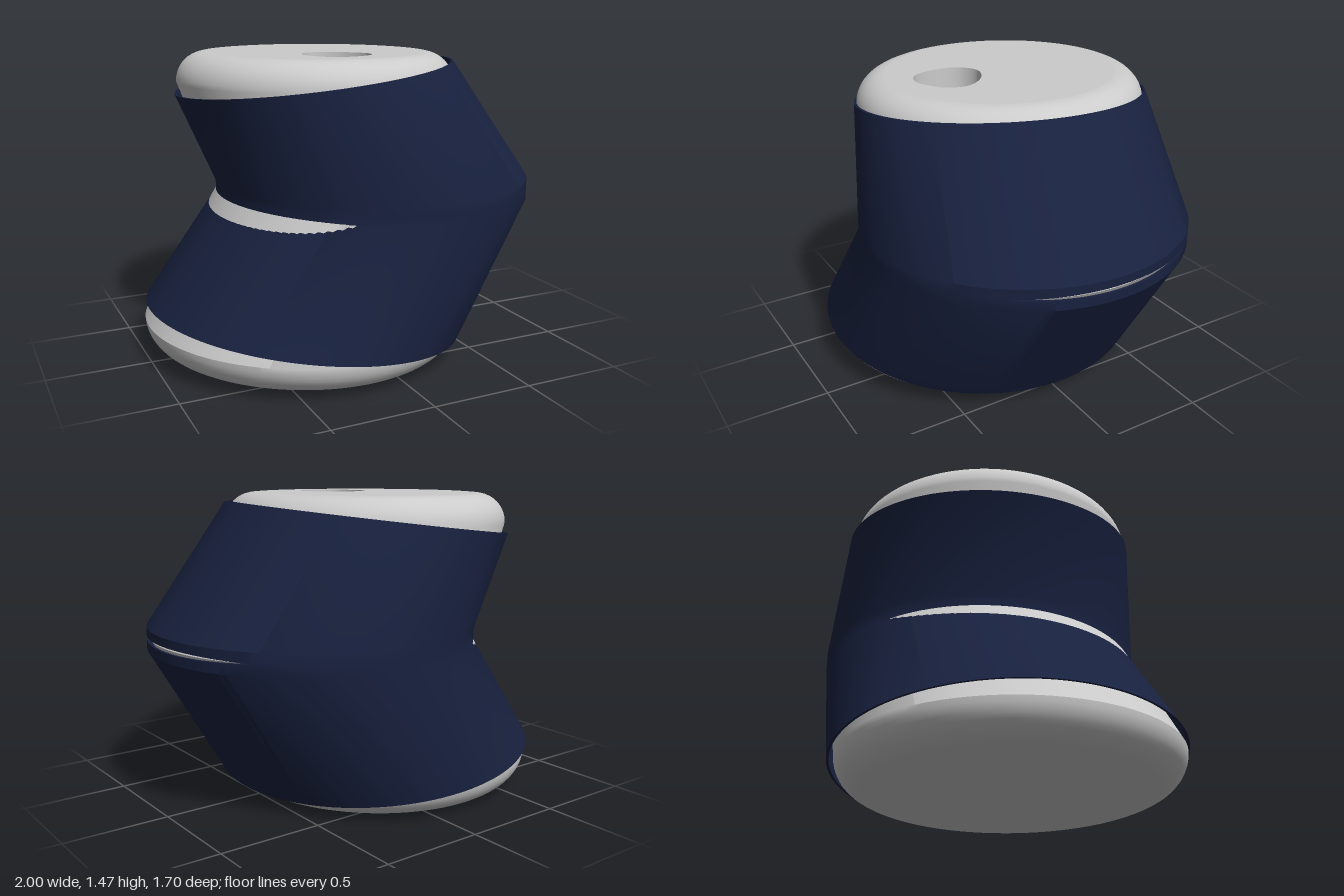
import * as THREE from 'three';
import { toCreasedNormals } from 'three/addons/utils/BufferGeometryUtils.js';

const SEG = 128;

// Elliptical cross-section: centre, radii, and a height that varies around the rim.
function ring(cx, cz, rx, rz, height) {
  return Array.from({ length: SEG }, (_, i) => {
    const t = (i / SEG) * Math.PI * 2, c = Math.cos(t), s = Math.sin(t);
    return new THREE.Vector3(cx + rx * c, height(c, s), cz + rz * s);
  });
}

// Skin through closed rings listed bottom to top (listed top to bottom it faces inward).
function loft(rings) {
  const n = rings[0].length, index = [];
  for (let j = 0; j < rings.length - 1; j++) {
    for (let i = 0; i < n; i++) {
      const k = (i + 1) % n, a = j * n + i, b = a + n, c = j * n + k, d = c + n;
      index.push(a, b, c, c, b, d);
    }
  }
  const geo = new THREE.BufferGeometry().setFromPoints(rings.flat());
  geo.setIndex(index);
  return toCreasedNormals(geo, 0.5);
}

// Flat upward-facing cap at height y.
function cap(points, y, hole) {
  const flat = (list) => list.map((p) => new THREE.Vector2(p.x, -p.z));
  const shape = new THREE.Shape(flat(points));
  if (hole) shape.holes.push(new THREE.Path(flat(hole)));
  return new THREE.ShapeGeometry(shape).rotateX(-Math.PI / 2).translate(0, y, 0);
}

export function createModel() {
  const group = new THREE.Group();
  const grey = new THREE.MeshStandardMaterial({ color: 0xcccccc });
  const navy = new THREE.MeshStandardMaterial({ color: 0x18213f, side: THREE.DoubleSide });
  const add = (name, geo, mat) => {
    const mesh = new THREE.Mesh(geo, mat);
    mesh.name = name;
    group.add(mesh);
  };

  // Core: rounded foot, offset waist and rounded head
  const core = [];
  const STEPS = 10, TOP = 1.475, R = 0.14;
  const footY = (c, s) => 0.017 - 0.012 * c + 0.008 * s;
  core.push(ring(-0.21, 0.005, 0.001, 0.001, () => 0.017));
  for (let i = 0; i <= STEPS; i++) {
    const a = (i / STEPS) * Math.PI / 2;
    const inset = 0.15 * (1 - Math.sin(a)), rise = 0.15 * (1 - Math.cos(a));
    core.push(ring(-0.21, 0.005, 0.79 - inset, 0.825 - inset, (c, s) => footY(c, s) + rise));
  }
  core.push(ring(0.195, -0.0175, 0.788, 0.793, () => 0.797));
  for (let i = 0; i <= STEPS; i++) {
    const a = (i / STEPS) * Math.PI / 2;
    const inset = R * (1 - Math.cos(a));
    core.push(ring(-0.1, -0.065, 0.68 - inset, 0.715 - inset, () => TOP - R + R * Math.sin(a)));
  }
  add('core', loft(core), grey);

  // Top face with a soft-cornered recess
  const outline = [
    [0.06, 0.22], [0.03, 0.31], [-0.04, 0.36], [-0.13, 0.385], [-0.22, 0.34],
    [-0.26, 0.2], [-0.23, 0.09], [-0.15, 0.04], [-0.05, 0.07], [0.03, 0.145],
  ].map(([x, z]) => new THREE.Vector3(x, TOP, z));
  const hole = new THREE.CatmullRomCurve3(outline, true).getPoints(64).slice(0, -1);
  const floorY = TOP - 0.13;
  const holeFloor = hole.map((p) => new THREE.Vector3(p.x, floorY, p.z));
  add('topFace', cap(core[core.length - 1], TOP, hole), grey);
  add('recessWall', loft([hole, holeFloor]), grey);
  add('recessFloor', cap(holeFloor, floorY), grey);

  // Two sleeve halves meeting at the waist, with a slit opening towards +x
  const slit = (c) => 0.012 * Math.max(0, (c - 0.8) / 0.2);
  const waist = (height, inset = 0) =>
    ring(0.195, -0.0175, 0.8 - inset, 0.8075 - inset, height);
  const bottomRim = (inset) =>
    ring(-0.205, 0, 0.785 - inset, 0.85 - inset, (c, s) => 0.16 - 0.1 * c + 0.01 * s);
  const topRim = (inset) =>
    ring(-0.105, -0.07, 0.685 - inset, 0.73 - inset, (c, s) => 1.355 + 0.078 * c + 0.025 * s);
  const LIP = 0.012;

  add('lowerSleeve', loft([
    bottomRim(LIP), bottomRim(0),
    waist((c) => 0.755 - 0.015 * c),
    waist((c) => 0.797 - slit(c)), waist((c) => 0.797 - slit(c), LIP),
  ]), navy);
  add('upperSleeve', loft([
    waist((c) => 0.797 + slit(c), LIP), waist((c) => 0.797 + slit(c)),
    waist((c) => 0.84 + 0.01 * c),
    topRim(0), topRim(LIP),
  ]), navy);

  return group;
}
